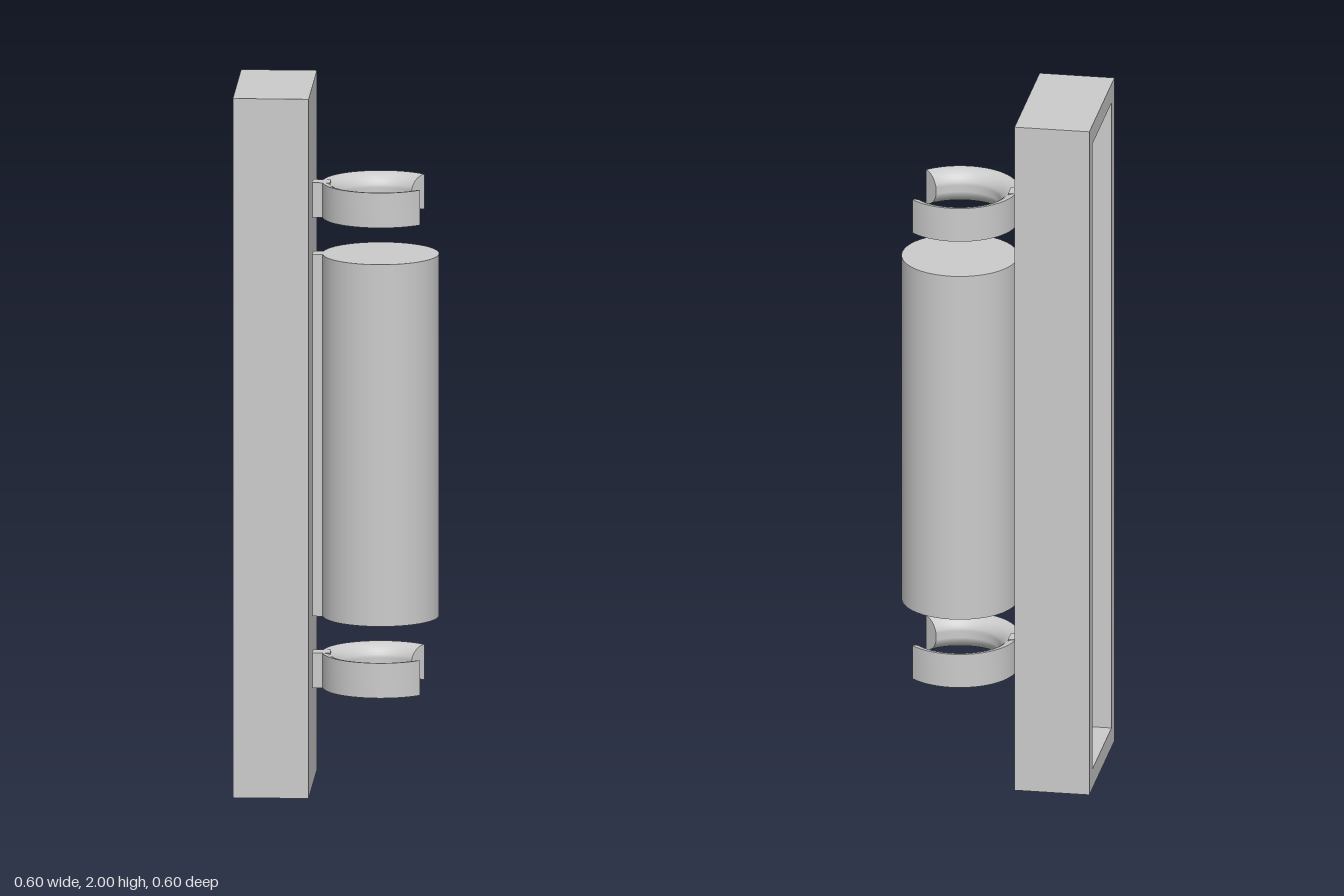
import * as THREE from 'three';
import { toCreasedNormals } from 'three/addons/utils/BufferGeometryUtils.js';

const W = 0.419, D = 0.213, H = 2, FLOOR = 0.05; // housing size and thickness of its back
const AXIS_Z = -0.191, R = 0.164;                // axis and radius of cylinder and clips
const material = new THREE.MeshStandardMaterial({ color: 0xcccccc });

function add(parent, name, geometry, x = 0, y = 0, z = 0) {
  const mesh = new THREE.Mesh(geometry, material);
  mesh.name = name;
  mesh.position.set(x, y, z);
  parent.add(mesh);
  return mesh;
}

function rectangle(target, x0, y0, x1, y1) {
  return target.moveTo(x0, y0).lineTo(x1, y0).lineTo(x1, y1).lineTo(x0, y1).closePath();
}

// Half-round section: flat outside, bulging toward the axis
function clipSection() {
  const points = [new THREE.Vector2(R, -0.05)];
  const n = 16;
  for (let i = 0; i <= n; i++) {
    const a = Math.PI / 2 - (Math.PI * i) / n;
    points.push(new THREE.Vector2(R - 0.049 * Math.cos(a), 0.05 * Math.sin(a)));
  }
  return points;
}

// Three-quarter ring, open at the back, with closed ends
function makeClip(name) {
  const clip = new THREE.Group();
  clip.name = name;
  const section = clipSection();
  const start = Math.PI * 1.25, sweep = Math.PI * 1.5;
  const ring = new THREE.LatheGeometry(section, 48, start, sweep);
  add(clip, name + 'Ring', toCreasedNormals(ring, 0.7));
  const cap = new THREE.ShapeGeometry(new THREE.Shape(section.slice(0, -1)));
  for (const [end, phi] of [['Start', start], ['End', start + sweep]]) {
    const mesh = add(clip, name + end, cap);
    mesh.rotation.y = phi - Math.PI / 2;
    mesh.material = material.clone();
    mesh.material.side = THREE.DoubleSide;
  }
  return clip;
}

export function createModel() {
  const model = new THREE.Group();
  model.name = 'handleAssembly';
  // Everything is built square, then turned an eighth of a turn
  const body = new THREE.Group();
  body.name = 'turnedBody';
  body.rotation.y = -Math.PI / 4;
  model.add(body);

  // Hollow housing: back plate and surrounding walls
  add(body, 'housingBack', new THREE.BoxGeometry(W, H, FLOOR), 0, H / 2, FLOOR / 2);
  const walls = rectangle(new THREE.Shape(), -W / 2, 0, W / 2, H);
  walls.holes.push(rectangle(new THREE.Path(), -0.16, 0.058, 0.16, 1.943));
  add(body, 'housingWalls',
    new THREE.ExtrudeGeometry(walls, { depth: D - FLOOR, bevelEnabled: false }), 0, 0, FLOOR);

  // Solid cylinder on its long mounting rib
  const low = 0.485, high = 1.52, mid = (low + high) / 2;
  add(body, 'cylinder', new THREE.CylinderGeometry(R, R, high - low, 48), 0, mid, AXIS_Z);
  add(body, 'cylinderRib', new THREE.BoxGeometry(0.05, high - low, 0.05), 0, mid, -0.025);

  // Open clips above and below, each on a short stem
  for (const [name, y] of [['lowerClip', 0.33], ['upperClip', 1.675]]) {
    const clip = makeClip(name);
    clip.position.set(0, y, AXIS_Z);
    body.add(clip);
    add(body, name + 'Stem', new THREE.BoxGeometry(0.05, 0.1, 0.05), 0, y, -0.025);
  }
  return model;
}
